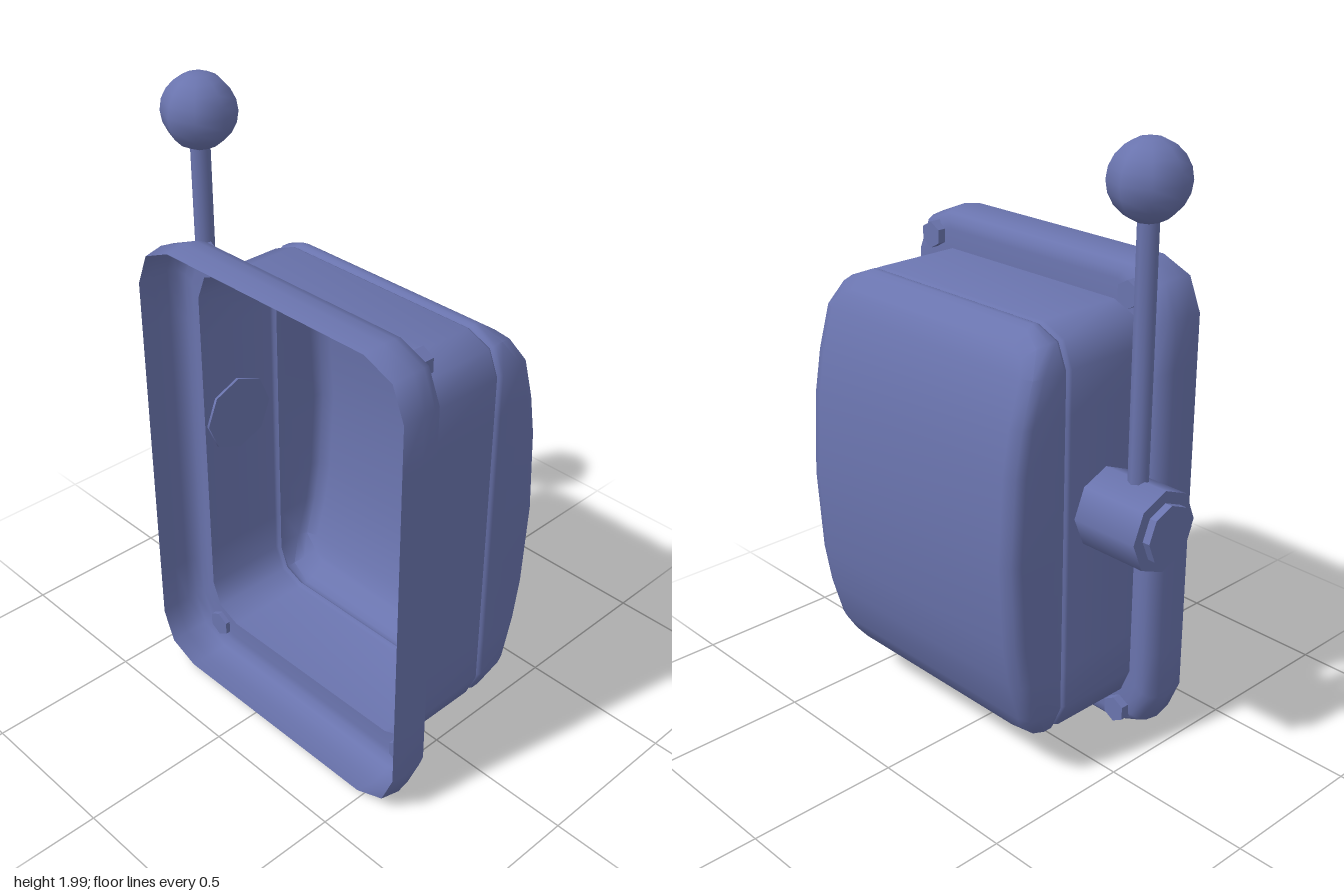
import * as THREE from 'three';
import { toCreasedNormals } from 'three/addons/utils/BufferGeometryUtils.js';

const CX = 0.083, CY = 0.8; // centre of the housing
const paint = new THREE.MeshStandardMaterial({ color: 0x6a74ae });
const shellPaint = paint.clone();
shellPaint.side = THREE.DoubleSide;

// Rounded rectangle, counter-clockwise from the front; z may depend on y
function ring(hw, hh, r, z) {
  const half = [];
  const corner = (sy, a0) => {
    for (let i = 0; i <= 2; i++) {
      const a = (a0 + i * 45) * Math.PI / 180;
      half.push([hw - r + r * Math.cos(a), sy * (hh - r) + r * Math.sin(a)]);
    }
  };
  corner(-1, -90);
  for (let i = 1; i < 8; i++) half.push([hw, (hh - r) * (i / 4 - 1)]);
  corner(1, 0);
  const all = [...half, ...half.map(([x, y]) => [-x, y]).reverse()];
  return all.map(([x, y]) => [CX + x, CY + y, typeof z === 'function' ? z(Math.abs(y)) : z]);
}

// Skin running through the rings from front to back
function loft(rings, capBack) {
  const n = rings[0].length, index = [];
  const quad = (a, b, c, d) => index.push(a, b, c, a, c, d);
  for (let k = 0; k < rings.length - 1; k++) {
    for (let i = 0; i < n; i++) {
      const j = (i + 1) % n, a = k * n, b = a + n;
      quad(a + i, b + i, b + j, a + j);
    }
  }
  if (capBack) {
    const o = (rings.length - 1) * n;
    for (let i = 0; i < n / 2 - 1; i++) quad(o + i, o + n - 1 - i, o + n - 2 - i, o + i + 1);
  }
  const g = new THREE.BufferGeometry();
  g.setAttribute('position', new THREE.Float32BufferAttribute(rings.flat(2), 3));
  g.setIndex(index);
  return toCreasedNormals(g, 0.9);
}

// Arched back of the cover: depth by distance from mid height
const ARCH = [[0, -0.342], [0.28, -0.325], [0.42, -0.3], [0.555, -0.26], [0.62, -0.225], [0.67, -0.17]];
function arch(y) {
  for (let i = 1; i < ARCH.length; i++) {
    const [y0, z0] = ARCH[i - 1], [y1, z1] = ARCH[i];
    if (y <= y1) return z0 + (z1 - z0) * (y - y0) / (y1 - y0);
  }
  return ARCH[ARCH.length - 1][1];
}

export function createModel() {
  const group = new THREE.Group();
  const add = (name, geometry, x = 0, y = 0, z = 0, material = paint) => {
    const mesh = new THREE.Mesh(geometry, material);
    mesh.name = name;
    mesh.position.set(x, y, z);
    group.add(mesh);
    return mesh;
  };

  // Hollow flange, open at the front
  const flange = [[0.01, 0.345], [0, 0.28], [0.005, 0.235], [0.014, 0.207], [0.035, 0.188], [0.06, 0.184]]
    .map(([d, z]) => ring(0.557 - d, 0.79 - d, 0.15 - d * 0.3, z));
  const body = (d, z) => ring(0.472 - d, 0.668 - d, 0.115 - d, z);
  add('flange', loft([...flange, body(0, 0.183)]), 0, 0, 0, shellPaint);

  // Straight wall ending in a fine groove
  add('housingWall', loft([body(0, 0.183), body(0, -0.106), body(0.004, -0.114), body(0.014, -0.12)]),
    0, 0, 0, shellPaint);

  // Domed cover
  add('cover', loft([
    body(0.014, -0.12), body(0.004, -0.126), body(0, -0.136),
    body(0, y => Math.min(-0.15, arch(y) + 0.045)),
    body(0.012, y => Math.min(-0.16, arch(y) + 0.014)),
    body(0.05, arch),
  ], true), 0, 0, 0, shellPaint);

  // Hex bolts through the flange corners
  for (const sx of [-1, 1]) for (const sy of [-1, 1]) {
    const bolt = add('bolt', toCreasedNormals(new THREE.CylinderGeometry(0.044, 0.044, 0.044, 6), 0.5),
      CX + sx * 0.432, CY + sy * 0.703, 0.178);
    bolt.rotation.x = Math.PI / 2;
  }

  // Lever hub and its end nut
  add('leverHub', new THREE.CylinderGeometry(0.13, 0.13, 0.24, 8), -0.5, 0.882, 0.045).rotation.z = Math.PI / 2;
  add('leverNut', toCreasedNormals(new THREE.CylinderGeometry(0.092, 0.092, 0.03, 8), 0.5), -0.63, 0.882, 0.045)
    .rotation.z = Math.PI / 2;

  // Lever rod and ball knob
  add('leverRod', new THREE.CylinderGeometry(0.031, 0.031, 0.82, 8), -0.51, 1.39, 0.05);
  add('leverKnob', new THREE.SphereGeometry(0.117, 8, 10), -0.51, 1.883, 0.048);

  return group;
}
